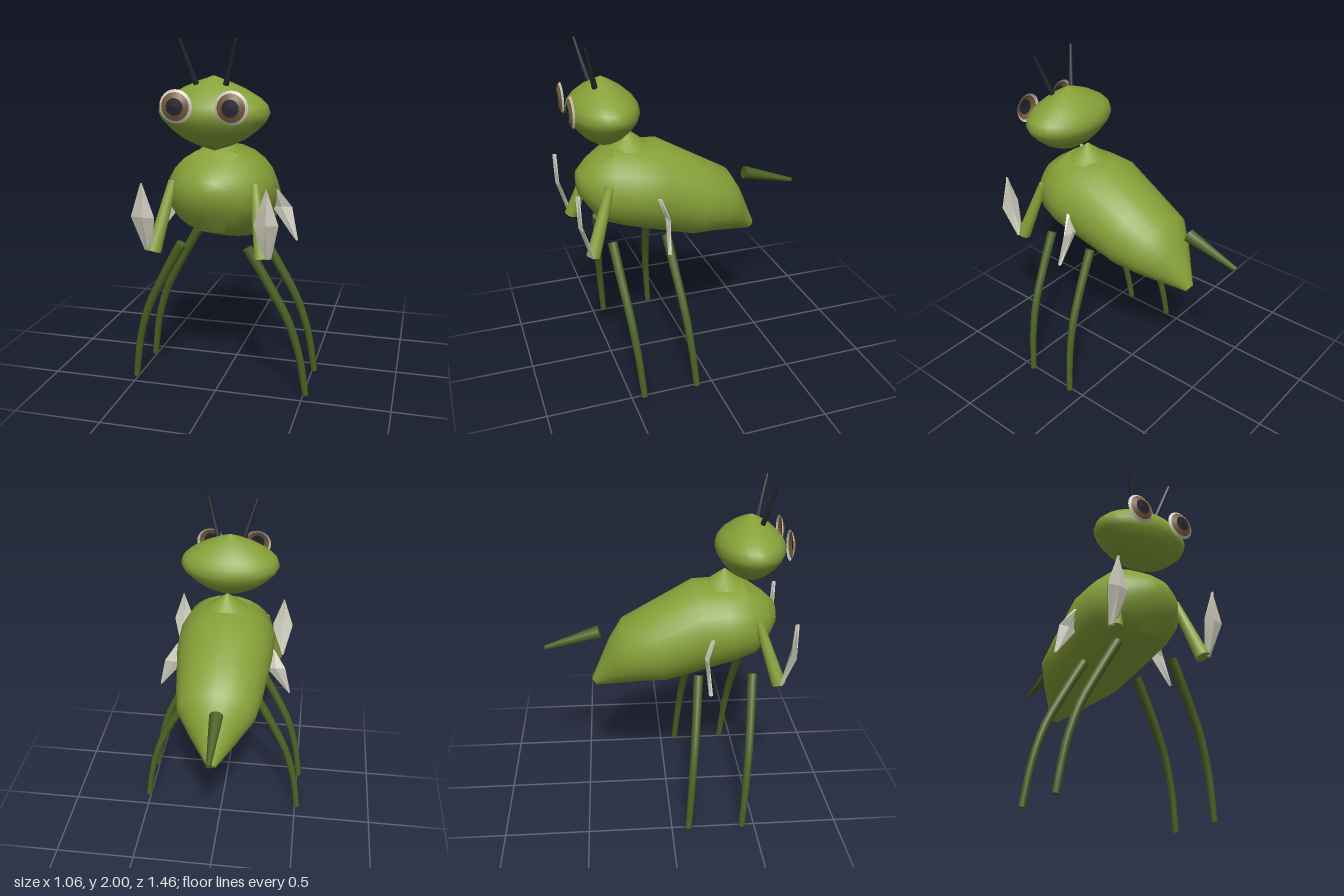
import * as THREE from 'three';
import { toCreasedNormals } from 'three/addons/utils/BufferGeometryUtils.js';

const V = (x, y, z) => new THREE.Vector3(x, y, z);
const mat = (name, color, side = THREE.FrontSide) => {
  const m = new THREE.MeshStandardMaterial({ color, side });
  m.name = name;
  return m;
};

// Skin over elliptical rings {c, u, v}, where u x v points along the loft; both ends capped
function loft(rings, n, crease) {
  const pos = [], idx = [];
  for (const { c, u, v } of rings) {
    for (let j = 0; j < n; j++) {
      const a = (j / n) * Math.PI * 2;
      const p = c.clone().addScaledVector(u, Math.cos(a)).addScaledVector(v, Math.sin(a));
      pos.push(p.x, p.y, p.z);
    }
  }
  const last = rings.length - 1, start = rings.length * n;
  pos.push(...rings[0].c.toArray(), ...rings[last].c.toArray());
  for (let j = 0; j < n; j++) {
    const k = (j + 1) % n;
    for (let i = 0; i < last; i++) {
      const a = i * n, b = a + n;
      idx.push(a + j, a + k, b + k, a + j, b + k, b + j);
    }
    idx.push(start, k, j, start + 1, last * n + j, last * n + k);
  }
  const g = new THREE.BufferGeometry();
  g.setAttribute('position', new THREE.Float32BufferAttribute(pos, 3));
  g.setIndex(idx);
  return toCreasedNormals(g, crease);
}

// Round tapering limb along a curve
function limb(points, r0, r1, steps = 1, n = 12) {
  const curve = new THREE.CatmullRomCurve3(points);
  const rings = [];
  for (let i = 0; i <= steps; i++) {
    const t = i / steps, d = curve.getTangent(t);
    const side = Math.abs(d.z) > 0.9 ? V(1, 0, 0) : V(0, 0, 1);
    const u = side.addScaledVector(d, -side.dot(d)).normalize();
    const v = d.clone().cross(u), r = r0 + (r1 - r0) * t;
    rings.push({ c: curve.getPoint(t), u: u.multiplyScalar(r), v: v.multiplyScalar(r) });
  }
  return loft(rings, n, 0.8);
}

// Thin bent diamond blade from stations [x, y, z, half width], bottom to top
const blade = (stations, s) => loft(stations.map(([x, y, z, w]) =>
  ({ c: V(x * s, y, z), u: V(w, 0, 0), v: V(0, 0, -0.012) })), 4, 0.3);

export function createModel() {
  const group = new THREE.Group();
  const green = mat('leaf green', 0x86a038);
  const darkGreen = mat('dark green', 0x4b6022);
  const ivory = mat('ivory', 0xcfcdbd, THREE.DoubleSide);
  const brown = mat('brown', 0x755c3c, THREE.DoubleSide);
  const black = mat('black', 0x22242c, THREE.DoubleSide);
  const add = (name, geo, material) => {
    const m = new THREE.Mesh(geo, material);
    m.name = name;
    group.add(m);
    return m;
  };

  // Body: [top z, top y, bottom z, bottom y, half width], tail to chest
  const body = [
    [-0.455, 0.785, -0.42, 0.737, 0.028],
    [-0.345, 1.04, -0.3, 0.76, 0.145],
    [-0.27, 1.16, -0.15, 0.787, 0.235],
    [-0.1, 1.255, 0, 0.79, 0.265],
    [0.16, 1.4, 0.25, 0.865, 0.298],
    [0.33, 1.405, 0.41, 0.915, 0.3],
    [0.45, 1.41, 0.54, 0.96, 0.265],
    [0.57, 1.33, 0.605, 1.05, 0.185],
    [0.645, 1.265, 0.65, 1.125, 0.09],
  ].map(([tz, ty, bz, by, w]) => ({
    c: V(0, (ty + by) / 2, (tz + bz) / 2),
    u: V(w, 0, 0),
    v: V(0, (ty - by) / 2, (tz - bz) / 2),
  }));
  body.push({ c: V(0, 1.195, 0.66), u: V(0.02, 0, 0), v: V(0, 0.02, 0) });
  add('body', loft(body, 24, 0.6), green);

  // Neck
  const neck = add('neck', new THREE.ConeGeometry(0.13, 0.1, 16), green);
  neck.position.set(0, 1.432, 0.345);

  // Head: turned profile, flattened front to back
  const profile = [[0, 1.405], [0.1, 1.438], [0.17, 1.472], [0.235, 1.52], [0.285, 1.57],
    [0.305, 1.612], [0.29, 1.655], [0.25, 1.692], [0.165, 1.742], [0.08, 1.778], [0, 1.806]];
  const head = add('head', new THREE.LatheGeometry(
    profile.map(([r, y]) => new THREE.Vector2(r, y)), 28), green);
  head.scale.z = 0.67;
  head.position.z = 0.488;

  // Rear spike
  add('tailSpike', limb([V(-0.026, 1.107, -0.4), V(-0.026, 1.012, -0.728)], 0.04, 0.014), darkGreen);

  // Eye bands: [name, outer radius, outer z, inner radius, inner z, material]
  const eyeBands = [
    ['eyeWhite', 0.088, 0.686, 0.074, 0.696, ivory],
    ['iris', 0.074, 0.696, 0.045, 0.71, brown],
    ['pupil', 0.045, 0.71, 0, 0.714, black],
  ];

  for (const s of [1, -1]) {
    const side = s > 0 ? 'left' : 'right';

    for (const [name, r0, z0, r1, z1, m] of eyeBands) {
      const g = new THREE.LatheGeometry([new THREE.Vector2(r0, z0), new THREE.Vector2(r1, z1)], 24);
      g.rotateX(Math.PI / 2);
      add(`${side} ${name}`, g, m).position.set(0.147 * s, 1.66, 0);
    }

    add(`${side} antenna`, limb([V(0.08 * s, 1.762, 0.54), V(0.15 * s, 1.997, 0.598)], 0.016, 0.009, 1, 8), black);

    // Raised forelimbs with their blades
    add(`${side} arm`, limb([V(0.228 * s, 1.235, 0.515), V(0.302 * s, 0.862, 0.643)], 0.026, 0.042), green);
    add(`${side} arm blade`, blade([[0.33, 0.87, 0.65, 0.022], [0.335, 1.07, 0.712, 0.066],
      [0.336, 1.255, 0.718, 0.004]], s), ivory);
    add(`${side} flank blade`, blade([[0.412, 0.86, 0.228, 0.008], [0.32, 1.05, 0.212, 0.06],
      [0.295, 1.155, 0.25, 0.012]], s), ivory);

    // Walking legs
    for (const [name, z] of [['front', 0.505], ['rear', 0.18]]) {
      add(`${side} ${name} leg`, limb([V(0.19 * s, 0.875, z), V(0.3 * s, 0.68, z - 0.018),
        V(0.41 * s, 0.465, z - 0.04), V(0.475 * s, 0.25, z - 0.06), V(0.513 * s, 0.003, z - 0.08)],
        0.029, 0.019, 12), darkGreen);
    }
  }
  return group;
}
